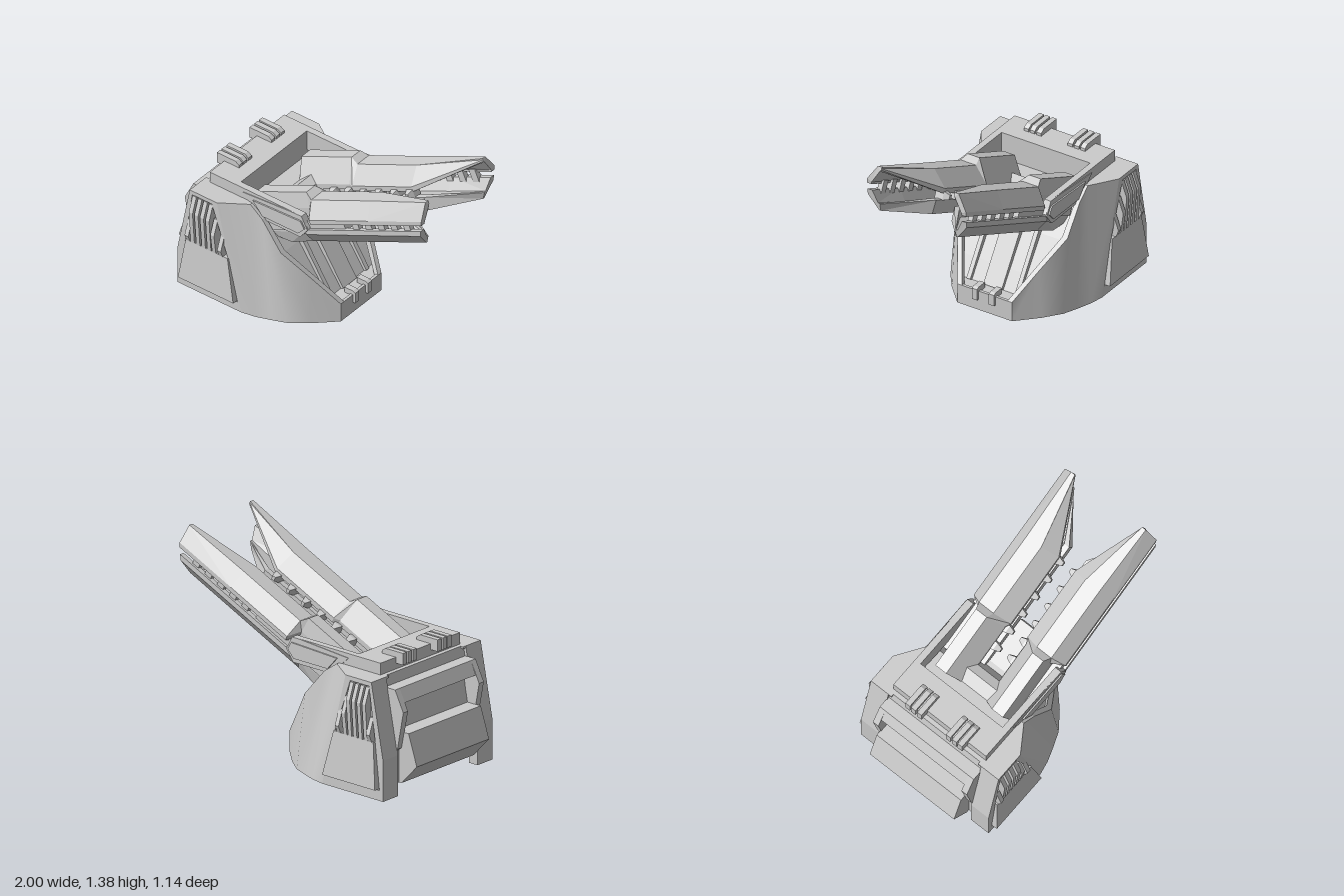
import * as THREE from 'three';

const material = new THREE.MeshStandardMaterial({ color: 0xcccccc, flatShading: true, side: THREE.DoubleSide });
const smooth = new THREE.MeshStandardMaterial({ color: 0xcccccc, side: THREE.DoubleSide });

// Geometry from a list of triangles, each three [x, y, z] corners
function fromTriangles(tris) {
  const g = new THREE.BufferGeometry();
  g.setAttribute('position', new THREE.Float32BufferAttribute(tris.flat(2), 3));
  g.computeVertexNormals();
  return g;
}

// Closed solid through rings with equal point counts, turned outward by its volume.
// The caps are triangulated with the given axis (0 x, 1 y, 2 z) dropped.
function loft(rings, axis = 0) {
  let tris = [];
  const n = rings[0].length, last = rings[rings.length - 1];
  for (let i = 0; i < rings.length - 1; i++) {
    for (let j = 0; j < n; j++) {
      const k = (j + 1) % n, a = rings[i], b = rings[i + 1];
      tris.push([a[j], b[j], b[k]], [a[j], b[k], a[k]]);
    }
  }
  const cap = ring => THREE.ShapeUtils.triangulateShape(
    ring.map(p => new THREE.Vector2(...p.filter((_, i) => i !== axis))), [])
    .map(t => [...t].sort((p, q) => p - q).map(i => ring[i]));
  tris.push(...cap(rings[0]), ...cap(last).map(([a, b, c]) => [a, c, b]));
  const v = tris.reduce((s, [a, b, c]) => s + new THREE.Vector3(...a).dot(
    new THREE.Vector3(...b).cross(new THREE.Vector3(...c))), 0);
  if (v < 0) tris = tris.map(([a, b, c]) => [a, c, b]);
  return fromTriangles(tris);
}

// Side profile [x, y] extruded from z0 to z1, with an optional hole
function prism(points, z0, z1, hole) {
  const shape = new THREE.Shape(points.map(p => new THREE.Vector2(...p)));
  if (hole) shape.holes.push(new THREE.Path(hole.map(p => new THREE.Vector2(...p))));
  return new THREE.ExtrudeGeometry(shape, { depth: z1 - z0, bevelEnabled: false }).translate(0, 0, z0);
}

const rect = (x0, x1, y0, y1) => [[x0, y0], [x1, y0], [x1, y1], [x0, y1]];

function mirrorZ(geometry) {
  const g = geometry.clone().scale(1, 1, -1);
  const p = g.attributes.position;
  for (let i = 0; i < p.count; i += 3) {
    const b = [p.getX(i + 1), p.getY(i + 1), p.getZ(i + 1)];
    p.setXYZ(i + 1, p.getX(i + 2), p.getY(i + 2), p.getZ(i + 2));
    p.setXYZ(i + 2, ...b);
  }
  g.computeVertexNormals();
  return g;
}

function add(parent, name, geometry, mat = material) {
  const mesh = new THREE.Mesh(geometry, mat);
  mesh.name = name;
  parent.add(mesh);
}

function pair(parent, name, geometry) {
  add(parent, name + 'Left', geometry);
  add(parent, name + 'Right', mirrorZ(geometry));
}

// Open strip between two rows of points, on side s = 1 or -1
function strip(a, b, s = 1) {
  const pos = [], idx = [];
  a.forEach((p, i) => {
    pos.push(p[0], p[1], p[2] * s, b[i][0], b[i][1], b[i][2] * s);
    if (i) {
      const k = 2 * i;
      idx.push(...(s > 0 ? [k - 2, k, k - 1, k, k + 1, k - 1] : [k - 2, k - 1, k, k, k - 1, k + 1]));
    }
  });
  const g = new THREE.BufferGeometry();
  g.setAttribute('position', new THREE.Float32BufferAttribute(pos, 3));
  g.setIndex(idx);
  g.computeVertexNormals();
  return g;
}

function buildHull() {
  const hull = new THREE.Group();
  hull.name = 'hull';

  // Flat side walls with a backed vent opening
  const opening = [[-0.84, 0.07], [-0.38, 0.07], [-0.46, 0.39], [-0.59, 0.76], [-0.75, 0.76], [-0.80, 0.42]];
  pair(hull, 'sideWall', prism([[-0.87, 0], [-0.35, 0], [-0.55, 0.79], [-0.77, 0.79], [-0.87, 0.28]], 0.51, 0.53, opening));
  pair(hull, 'ventBacking', prism(opening, 0.485, 0.495));

  // Cheeks leaning in from a curved foot to the sloping front edge
  const top = [[-0.55, 0.79, 0.53], [-0.37, 0.79, 0.41], [-0.27, 0.72, 0.415], [-0.11, 0.53, 0.425],
    [0.05, 0.335, 0.315], [0.21, 0.14, 0.21]];
  const foot = [[-0.35, 0, 0.53], [-0.25, 0, 0.51], [-0.15, 0, 0.475], [-0.05, 0, 0.435], [0.07, 0, 0.345], [0.21, 0, 0.21]];
  const edge = top.slice(1);
  const rim = edge.map(([x, y, z]) => [x, y, Math.min(z - 0.035, 0.385)]);
  const lip = rim.map(([x, y, z]) => [x - 0.03, Math.max(y - 0.04, 0.13), z]);
  for (const s of [1, -1]) {
    const side = s > 0 ? 'Left' : 'Right';
    add(hull, 'cheek' + side, strip(foot, top, s), smooth);
    add(hull, 'cheekRim' + side, strip(edge, rim, s));
    add(hull, 'cheekLip' + side, strip(lip, rim, -s));
  }
  const shoulder = y => [[-0.77, y, 0.36], [-0.77, y, 0.53], [-0.55, y, 0.53], [-0.37, y, 0.41], [-0.37, y, 0.36]];
  pair(hull, 'shoulder', loft([shoulder(0.775), shoulder(0.79)], 1));

  // Nose, sloping front and floor under the gun
  add(hull, 'noseFace', prism(rect(0.19, 0.21, 0, 0.14), -0.21, 0.21));
  const slope = [[0.2, 0.13, 0.18], [0.1, 0.13, 0.25], [0.02, 0.25, 0.31], [-0.14, 0.48, 0.39], [-0.3, 0.68, 0.385], [-0.54, 0.68, 0.385]];
  add(hull, 'frontSlope', strip(slope, slope.map(([x, y, z]) => [x, y, -z])));
  const slat = [[0.1, 0.13], [-0.14, 0.48], [-0.30, 0.69], [-0.27, 0.71], [-0.11, 0.5], [0.12, 0.14]];
  add(hull, 'centreSlat', prism(slat, -0.07, 0.07));
  pair(hull, 'sideSlat', prism(slat, 0.17, 0.20));
  pair(hull, 'noseClip', prism([[0.14, 0.13], [0.21, 0.13], [0.21, 0.08], [0.23, 0.08], [0.23, 0.16], [0.21, 0.17],
    [0.14, 0.17]], 0.045, 0.085));

  // Side armour panel and vent bars
  const panel = (z0, z1, e) => [[-0.84 + e, 0.08, z0], [-0.38 - e, 0.08, z0], [-0.45 - e, 0.39, z1], [-0.80 + e, 0.39, z1]];
  pair(hull, 'sidePanel', loft([panel(0.50, 0.50, 0), panel(0.57, 0.54, 0.005)], 2));
  const bars = [[-0.77, 0.55], [-0.735, 0.75], [-0.69, 0.75], [-0.645, 0.75], [-0.60, 0.75], [-0.56, 0.65], [-0.505, 0.55]];
  for (const [x, y] of bars) {
    const ring = bx => [[bx, y, 0.49], [bx, y, 0.525], [bx, y - 0.11, 0.565], [bx, 0.39, 0.545], [bx, 0.39, 0.49]];
    pair(hull, 'ventBar', loft([ring(x - 0.015), ring(x + 0.015)]));
  }

  // Back wall, corner posts, bracket frame and rear box
  add(hull, 'backWall', prism([[-0.85, 0.08], [-0.83, 0.08], [-0.83, 0.28], [-0.72, 0.79], [-0.75, 0.79], [-0.85, 0.28]], -0.4, 0.4));
  pair(hull, 'backPost', prism([[-0.87, 0], [-0.80, 0], [-0.80, 0.28], [-0.71, 0.79], [-0.77, 0.79], [-0.87, 0.28]], 0.385, 0.51));
  pair(hull, 'backBracket', prism([[-0.76, 0.72], [-0.85, 0.72], [-0.92, 0.58], [-0.87, 0.32], [-0.82, 0.28], [-0.80, 0.55]], 0.345, 0.39));
  add(hull, 'backTopBar', prism([[-0.76, 0.72], [-0.85, 0.72], [-0.89, 0.63], [-0.79, 0.61]], -0.345, 0.345));
  add(hull, 'rearBox', prism([[-0.84, 0.08], [-0.87, 0.08], [-1, 0.22], [-0.93, 0.43], [-0.80, 0.43]], -0.35, 0.35));
  return hull;
}

function buildDeck() {
  const deck = new THREE.Group();
  deck.name = 'deck';
  add(deck, 'deckPlate', prism([[-0.72, 0.78], [-0.54, 0.68], [-0.5, 0.68], [-0.5, 0.87], [-0.72, 0.87]], -0.385, 0.385));
  pair(deck, 'deckArm', prism([[-0.5, 0.72], [-0.3, 0.70], [0.02, 0.70], [0.08, 0.79], [0.02, 0.87], [-0.5, 0.87]], 0.34, 0.385));
  // Pivot plates on the arms
  pair(deck, 'pivotPlate', prism([[-0.45, 0.84], [-0.3, 0.70], [0.02, 0.70], [0.08, 0.78], [0.03, 0.87], [-0.03, 0.87]], 0.34, 0.39));
  pair(deck, 'pivotPlateInset', prism([[-0.36, 0.82], [-0.28, 0.73], [0.01, 0.73], [0.06, 0.785], [0.03, 0.835]], 0.38, 0.4));
  // Ribbed pads over the rear edge
  for (const z of [0.12, 0.17, 0.217]) {
    pair(deck, 'padRib', prism([[-0.78, 0.83], [-0.71, 0.83], [-0.71, 0.865], [-0.6, 0.865], [-0.6, 0.89], [-0.63, 0.91], [-0.78, 0.91]], z - 0.018, z + 0.018));
  }
  pair(deck, 'padBase', prism(rect(-0.76, -0.61, 0.84, 0.885), 0.102, 0.235));
  return deck;
}

// Built lying along x, then tilted
function buildGun() {
  const gun = new THREE.Group();
  gun.name = 'gun';
  // Cross-section points are [height, z, optional shift along the rail]
  const ring = (u, pts) => pts.map(([v, z, du = 0]) => [u + du, v, z]);

  // Hollow upper shell: raised rear cover, wide middle, tapering tip
  const rear = [[0.165, 0.30], [0.24, 0.30], [0.345, 0.28], [0.345, 0.19], [0.2, 0.09], [0.165, 0.09],
    [0.165, 0.12], [0.19, 0.12], [0.29, 0.2], [0.29, 0.26], [0.18, 0.27], [0.165, 0.27]];
  const main = [[0.165, 0.38], [0.195, 0.38], [0.30, 0.30], [0.30, 0.18], [0.2, 0.07], [0.165, 0.07],
    [0.165, 0.10], [0.19, 0.10], [0.265, 0.2], [0.265, 0.285], [0.18, 0.345], [0.165, 0.345]];
  const upperTip = [[0.165, 0.38], [0.195, 0.38, 0.015], [0.30, 0.31, 0.04], [0.30, 0.28, 0.04], [0.29, 0.28, 0.04], [0.28, 0.28, 0.04],
    [0.275, 0.285, 0.04], [0.27, 0.287, 0.04], [0.268, 0.289, 0.04], [0.265, 0.29, 0.04], [0.18, 0.345, 0.01], [0.165, 0.345]];
  pair(gun, 'upperRail', loft([ring(-0.2, rear), ring(0.25, rear), ring(0.29, main), ring(0.82, main), ring(1.283, upperTip)]));

  // Hollow lower shell
  const low = [[0.03, 0.075], [0, 0.30], [0.09, 0.38], [0.125, 0.38], [0.125, 0.345], [0.05, 0.29], [0.07, 0.13], [0.125, 0.11], [0.125, 0.07]];
  const lowRear = low.map(([v, z], i) => [v, i === 1 ? 0.32 : Math.min(z, 0.34), -2 * v]);
  const lowTip = [[0, 0.29], [0, 0.30], [0.09, 0.38, 0.055], [0.125, 0.38, 0.075], [0.125, 0.345, 0.075], [0.05, 0.305, 0.03],
    [0.05, 0.30, 0.03], [0.05, 0.295, 0.03], [0.045, 0.29, 0.03]];
  pair(gun, 'lowerRail', loft([ring(0, lowRear), ring(0.17, low.map(([v, z]) => [v, Math.min(z, 0.345)])),
    ring(0.22, low), ring(0.9, low), ring(1.186, lowTip)]));

  // Core between the shells, spacers in the slot and pointed teeth along the bore
  pair(gun, 'railCore', prism(rect(-0.1, 0.57, 0.11, 0.18), 0.1, 0.36));
  for (let i = 0; i < 5; i++) {
    const u = 0.645 + i * 0.115;
    pair(gun, 'slotSpacer', prism(rect(u, u + 0.055, 0.1, 0.19), 0.33, 0.365));
  }
  for (let i = 0; i < 6; i++) {
    const u = 0.08 + i * 0.1375;
    const end = (z, e) => [[u + e, 0.12 + e, z], [u + 0.055 - e, 0.12 + e, z], [u + 0.055 - e, 0.18 - e, z], [u + e, 0.18 - e, z]];
    pair(gun, 'boreTooth', loft([end(0.13, 0), end(0.07, 0), end(0.03, 0.015)], 2));
  }

  // Breech tongue and mantlet between the deck arms
  add(gun, 'breech', prism([[-0.25, 0.04], [0.07, 0.0], [0.33, 0.0], [0.33, 0.05], [0, 0.08], [-0.25, 0.15]], -0.07, 0.07));
  add(gun, 'mantlet', prism([[-0.2, 0.07], [-0.03, 0.07], [-0.05, 0.2], [-0.1, 0.25], [-0.2, 0.22], [-0.25, 0.15]], -0.17, 0.17));

  gun.rotation.z = THREE.MathUtils.degToRad(24.6);
  gun.position.set(-0.1, 0.56, 0);
  return gun;
}

export function createModel() {
  const model = new THREE.Group();
  model.name = 'turret';
  model.add(buildHull(), buildDeck(), buildGun());
  return model;
}
